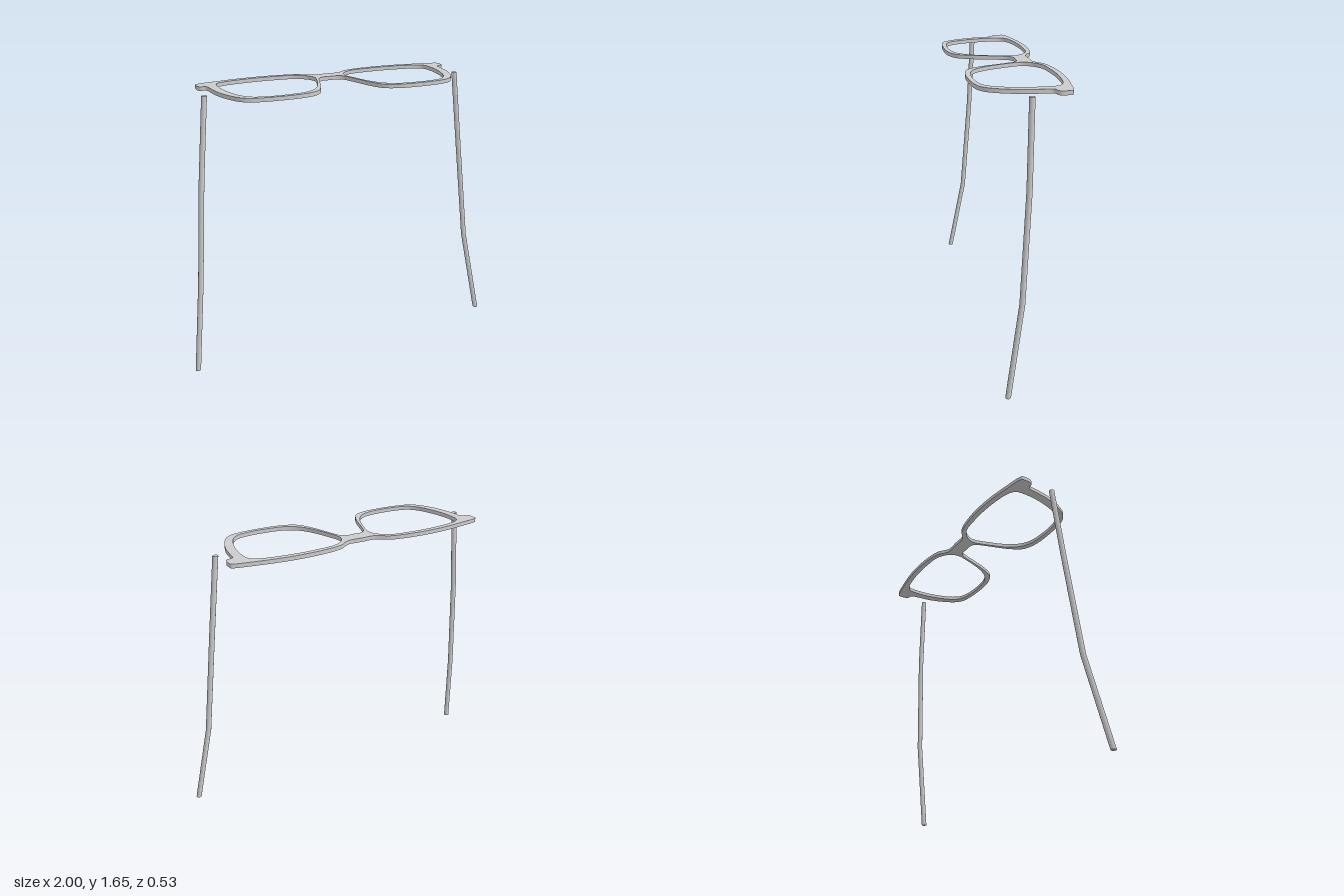
import * as THREE from 'three';
import { toCreasedNormals } from 'three/addons/utils/BufferGeometryUtils.js';

const material = new THREE.MeshStandardMaterial({ color: 0xcccccc });

const FRAME_TOP = 1.655;
const FRAME_THICKNESS = 0.023;

// Smooth curve through [x, z] points, returned as 2D points
function smooth(points, closed, divisions) {
  const curve = new THREE.CatmullRomCurve3(
    points.map(([x, z]) => new THREE.Vector3(x, z, 0)), closed, 'centripetal');
  const result = [];
  const steps = points.length * divisions;
  for (let i = 0; i < (closed ? steps : steps + 1); i++) {
    const p = curve.getPoint(i / steps);
    result.push(new THREE.Vector2(p.x, p.y));
  }
  return result;
}

const mirror = (points) => points.map((p) => new THREE.Vector2(-p.x, p.y)).reverse();

// Lens rims, bridge and end pieces as one flat plate with two openings
function createFrame() {
  const outer = [
    [0, -0.19], [0.085, -0.19], [0.115, -0.207], [0.155, -0.236], [0.245, -0.257],
    [0.395, -0.267], [0.54, -0.259], [0.685, -0.237], [0.775, -0.22], [0.797, -0.208],
    [0.799, -0.195], [0.796, -0.15], [0.784, -0.136], [0.757, -0.13], [0.747, -0.118],
    [0.743, -0.085], [0.727, 0.03], [0.683, 0.15], [0.64, 0.212], [0.58, 0.243],
    [0.4, 0.258], [0.28, 0.247], [0.205, 0.213], [0.157, 0.135], [0.097, -0.04],
    [0.077, -0.085], [0.045, -0.104], [0, -0.104],
  ];
  const opening = [
    [0.097, -0.107], [0.105, -0.145], [0.135, -0.186], [0.195, -0.22], [0.3, -0.232],
    [0.4, -0.235], [0.54, -0.225], [0.64, -0.204], [0.68, -0.175], [0.69, -0.107],
    [0.675, 0.027], [0.63, 0.155], [0.58, 0.207], [0.5, 0.227], [0.4, 0.231],
    [0.285, 0.216], [0.22, 0.177], [0.17, 0.11], [0.12, -0.018],
  ];

  const half = smooth(outer, false, 4);
  const shape = new THREE.Shape([...half, ...mirror(half).slice(1, -1)]);
  const hole = smooth(opening, true, 4);
  shape.holes.push(new THREE.Path(hole), new THREE.Path(mirror(hole)));

  let geometry = new THREE.ExtrudeGeometry(shape, { depth: FRAME_THICKNESS, bevelEnabled: false });
  geometry.rotateX(Math.PI / 2);
  geometry.translate(0, FRAME_TOP, 0);
  geometry = toCreasedNormals(geometry, 0.6);
  const frame = new THREE.Mesh(geometry, material);
  frame.name = 'frame';
  return frame;
}

// Thin rod with two slight bends: each ring of a cylinder is moved to its station
function createTemple(side) {
  const stations = [[0.798, 1.635, 0.002], [0.851, 1.15, 0.023], [0.909, 0.53, 0.068], [0.984, 0, 0.161]];
  const geometry = new THREE.CylinderGeometry(0.016, 0.016, 3, 16, 3);
  const position = geometry.attributes.position;
  for (let i = 0; i < position.count; i++) {
    const [x, y, z] = stations[Math.round(1.5 - position.getY(i))];
    position.setXYZ(i, position.getX(i) + side * x, y, position.getZ(i) + z);
  }
  const temple = new THREE.Mesh(geometry, material);
  temple.name = side > 0 ? 'leftTemple' : 'rightTemple';
  return temple;
}

export function createModel() {
  const model = new THREE.Group();
  model.name = 'glasses';
  model.add(createFrame(), createTemple(1), createTemple(-1));
  return model;
}
